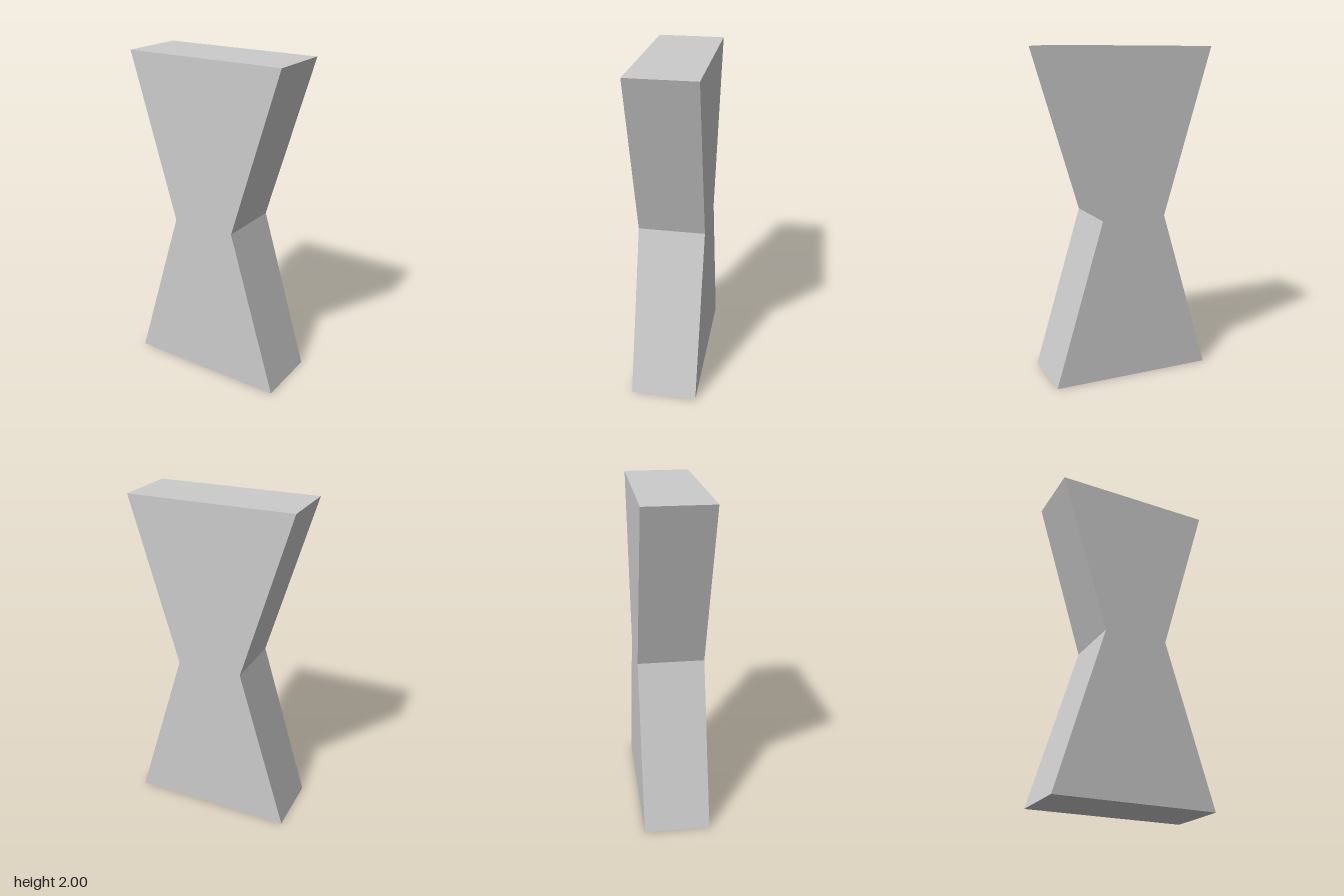
import * as THREE from 'three';

export function createModel() {
  const group = new THREE.Group();
  group.name = 'waistedBlock';

  const height = 2, depth = 0.4, endHalf = 0.5, waistHalf = 0.2;

  // Bow-tie outline: wide at both ends, pinched at mid height
  const outline = new THREE.Shape([
    new THREE.Vector2(-endHalf, 0),
    new THREE.Vector2(endHalf, 0),
    new THREE.Vector2(waistHalf, height / 2),
    new THREE.Vector2(endHalf, height),
    new THREE.Vector2(-endHalf, height),
    new THREE.Vector2(-waistHalf, height / 2),
  ]);

  // Straight extrusion, centred front to back
  const geometry = new THREE.ExtrudeGeometry(outline, { depth, bevelEnabled: false });
  geometry.translate(0, 0, -depth / 2);

  const material = new THREE.MeshStandardMaterial({ color: 0xcccccc, flatShading: true });
  const body = new THREE.Mesh(geometry, material);
  body.name = 'body';
  group.add(body);

  return group;
}
